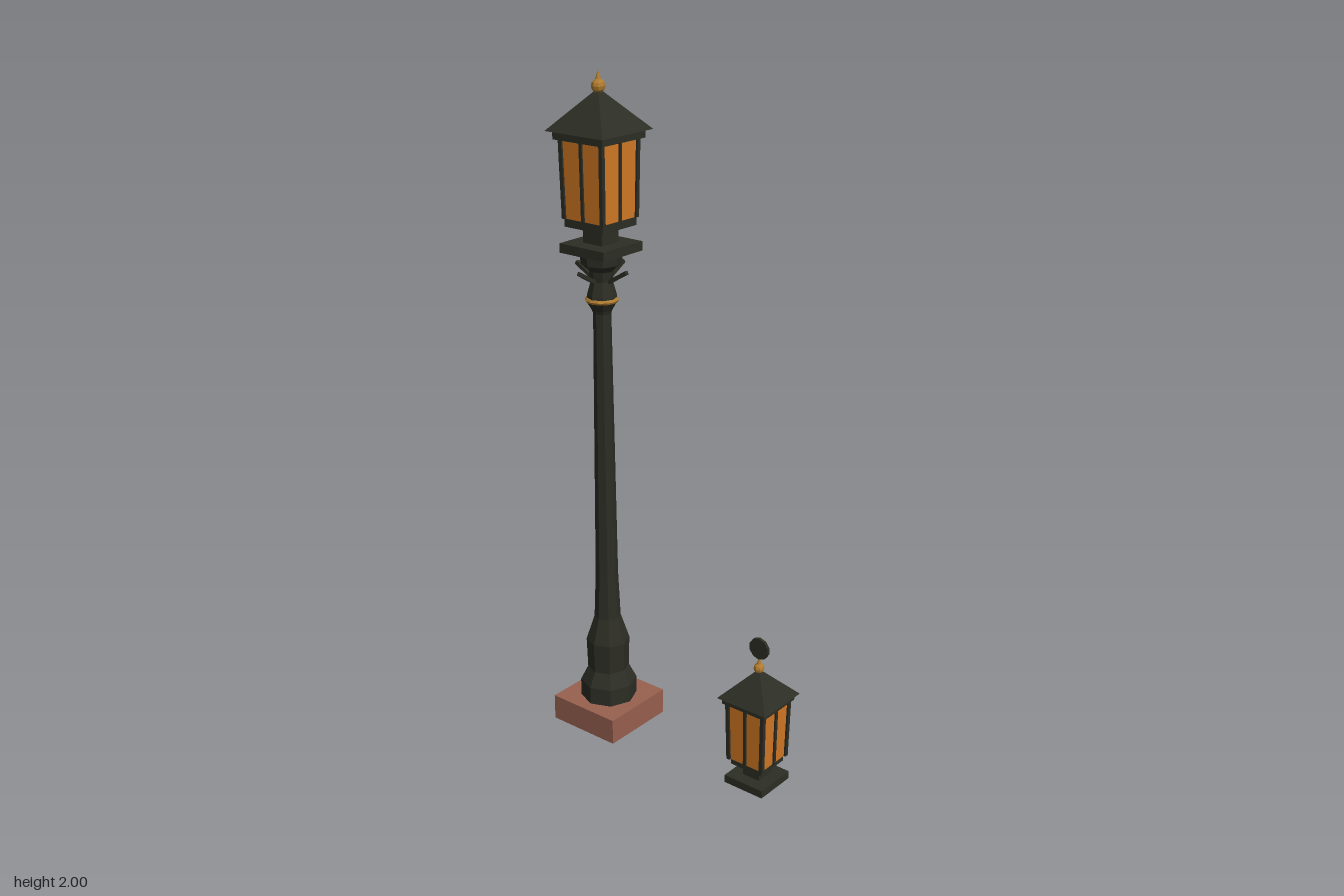
import * as THREE from 'three';

const mat = (name, color) => {
  const m = new THREE.MeshStandardMaterial({ color, flatShading: true });
  m.name = name;
  return m;
};

export function createModel() {
  const iron = mat('darkIron', 0x2c2d24);
  const glass = mat('amberGlass', 0xd07824);
  const brass = mat('brass', 0xb07c30);
  const brick = mat('brick', 0x98604f);

  const add = (parent, name, geo, material, x = 0, y = 0, z = 0) => {
    const m = new THREE.Mesh(geo, material);
    m.name = name;
    m.position.set(x, y, z);
    parent.add(m);
    return m;
  };
  // Square block given by half width and its bottom and top heights
  const block = (parent, name, half, y0, y1, material = iron) =>
    add(parent, name, new THREE.BoxGeometry(half * 2, y1 - y0, half * 2), material, 0, (y0 + y1) / 2);
  // Four-sided tapered prism
  const prism = (parent, name, bottom, top, y0, y1, material) =>
    add(parent, name, new THREE.CylinderGeometry(top * Math.SQRT2, bottom * Math.SQRT2, y1 - y0, 4)
      .rotateY(Math.PI / 4), material, 0, (y0 + y1) / 2);
  // Straight bar between two points
  const bar = (parent, name, a, b, w) => {
    const p = new THREE.Vector3(...a), q = new THREE.Vector3(...b);
    const m = add(parent, name, new THREE.BoxGeometry(w, p.distanceTo(q), w), iron);
    m.position.copy(p).add(q).multiplyScalar(0.5);
    m.quaternion.setFromUnitVectors(new THREE.Vector3(0, 1, 0), q.sub(p).normalize());
    return m;
  };

  // Lantern: sill, glass, corner posts, mullions, eave, roof and finial
  const lantern = (o) => {
    const g = new THREE.Group();
    g.name = 'lantern';
    block(g, 'neck', o.neck, o.neckY, o.sillY);
    block(g, 'sill', o.sill, o.sillY, o.y0);
    prism(g, 'glassPanes', o.bottom - 0.005, o.top - 0.005, o.y0, o.y1, glass);
    const b = o.bottom - 0.005, t = o.top - 0.005;
    for (let i = 0; i < 4; i++) {
      const side = new THREE.Group();
      side.name = 'lanternSide';
      side.rotation.y = i * Math.PI / 2;
      bar(side, 'cornerPost', [b, o.y0, b], [t, o.y1, t], 0.012);
      bar(side, 'mullion', [0, o.y0, b], [0, o.y1, t], 0.01);
      g.add(side);
    }
    block(g, 'eave', o.eave, o.y1, o.roofY);
    prism(g, 'roof', o.roof, 0.006, o.roofY, o.apex, iron);
    add(g, 'finialBall', new THREE.SphereGeometry(o.ball, 8, 6), brass, 0, o.apex + o.ball * 0.6);
    const s0 = o.apex + o.ball * 1.2;
    add(g, 'finialSpike', new THREE.ConeGeometry(o.ball * 0.5, o.tip - s0, 8), brass, 0, (s0 + o.tip) / 2);
    return g;
  };

  const model = new THREE.Group();
  model.name = 'streetLamps';

  // Tall street lamp
  const post = new THREE.Group();
  post.name = 'streetLamp';
  post.position.x = -0.27;
  model.add(post);
  block(post, 'plinth', 0.12, 0, 0.08, brick);
  const profile = [
    [0, 0.08], [0.086, 0.08], [0.086, 0.135], [0.063, 0.18], [0.066, 0.275], [0.04, 0.355],
    [0.034, 0.5], [0.026, 1.32], [0.03, 1.33], [0.045, 1.355], [0.042, 1.375], [0.031, 1.415],
    [0.036, 1.445], [0.058, 1.465], [0.062, 1.5], [0, 1.5],
  ].map(([r, y]) => new THREE.Vector2(r, y));
  add(post, 'column', new THREE.LatheGeometry(profile, 8), iron);
  add(post, 'collarBand', new THREE.TorusGeometry(0.042, 0.007, 6, 12).rotateX(Math.PI / 2), brass, 0, 1.36);

  // Small arms flaring out below the capital
  for (let i = 0; i < 4; i++) {
    const arm = new THREE.Group();
    arm.name = 'arm';
    arm.rotation.y = i * Math.PI / 2;
    bar(arm, 'armBar', [0.02, 1.41, 0], [0.094, 1.453, 0], 0.011);
    post.add(arm);
  }
  block(post, 'capitalPlate', 0.082, 1.498, 1.525);
  post.add(lantern({
    neck: 0.035, neckY: 1.525, sillY: 1.572, sill: 0.071, y0: 1.595, bottom: 0.075, y1: 1.815,
    top: 0.079, eave: 0.09, roofY: 1.838, roof: 0.105, apex: 1.945, ball: 0.02, tip: 2,
  }));

  // Small hand lantern with a carrying disc
  const small = new THREE.Group();
  small.name = 'handLantern';
  small.position.x = 0.305;
  model.add(small);
  block(small, 'foot', 0.067, 0, 0.024);
  small.add(lantern({
    neck: 0.029, neckY: 0.024, sillY: 0.062, sill: 0.054, y0: 0.08, bottom: 0.063, y1: 0.265,
    top: 0.067, eave: 0.074, roofY: 0.284, roof: 0.085, apex: 0.366, ball: 0.016, tip: 0.415,
  }));
  add(small, 'handleDisc', new THREE.CylinderGeometry(0.033, 0.033, 0.009, 10).rotateX(Math.PI / 2),
    iron, 0, 0.438);

  return model;
}
